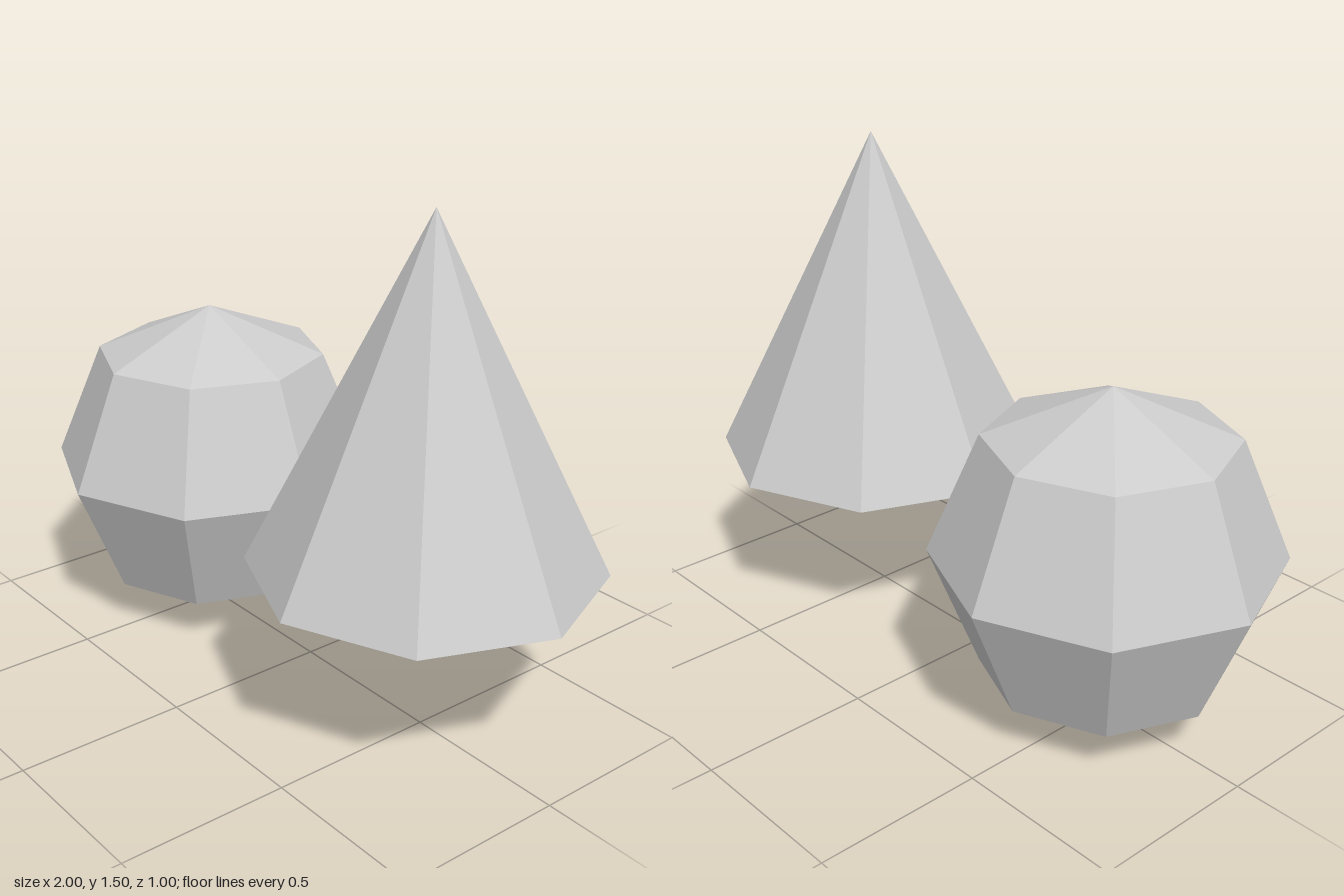
import * as THREE from 'three';

export function createModel() {
  const model = new THREE.Group();
  const grey = new THREE.MeshStandardMaterial({ color: 0xcccccc, flatShading: true });
  grey.name = 'light grey';

  const addPart = (name, geometry, x, y) => {
    const mesh = new THREE.Mesh(geometry, grey);
    mesh.name = name;
    mesh.position.set(x, y, 0);
    model.add(mesh);
  };

  // Faceted ball: eight sides, four bands
  addPart('ball', new THREE.SphereGeometry(0.5, 8, 4), -0.5, 0.5);

  // Eight-sided cone with a closed base, level with the ball's middle
  addPart('cone', new THREE.ConeGeometry(0.5, 1, 8), 0.5, 1);

  return model;
}
